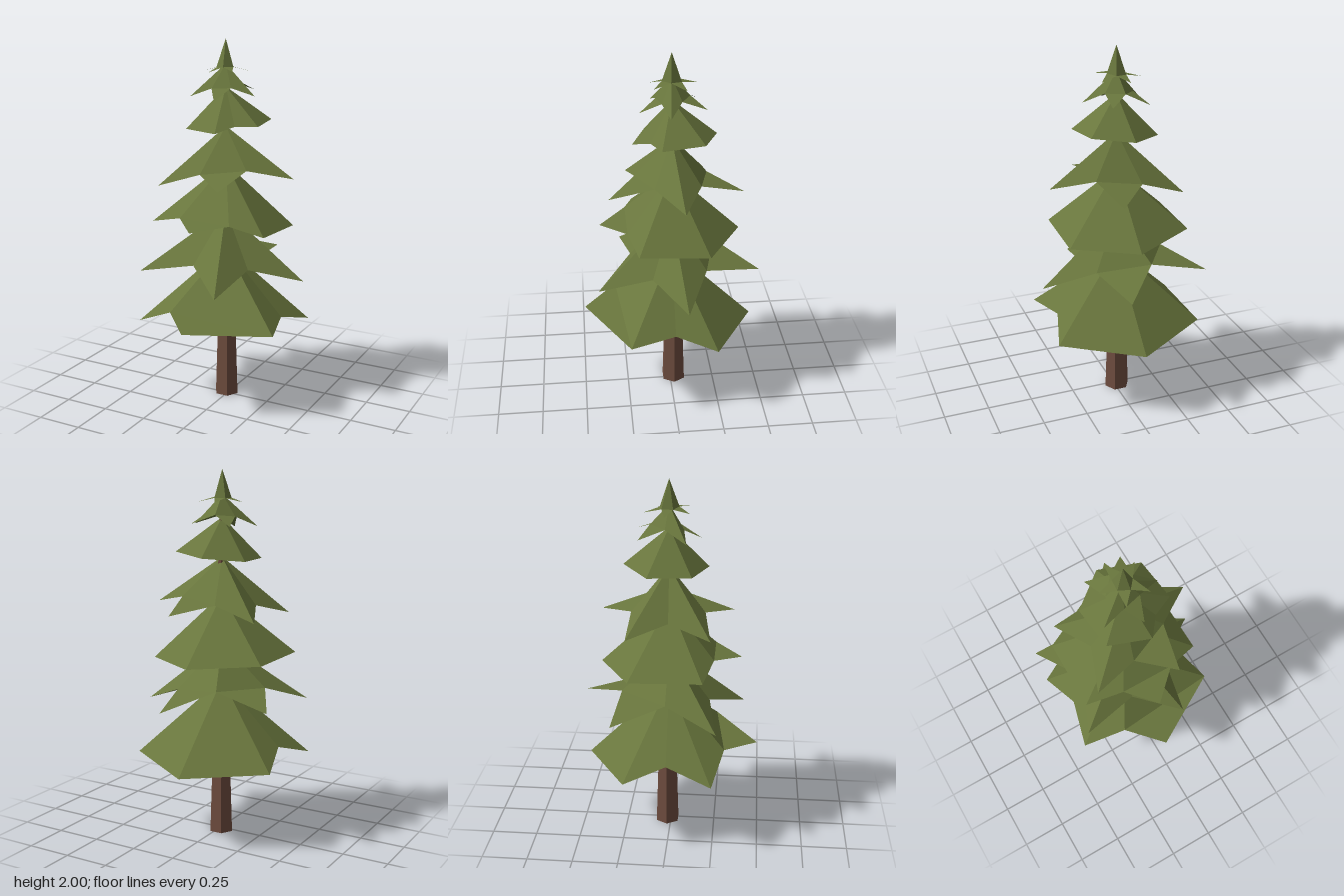
import * as THREE from 'three';

const needles = new THREE.MeshStandardMaterial({ color: 0x69763d, side: THREE.DoubleSide, flatShading: true });
needles.name = 'needle green';
const bark = new THREE.MeshStandardMaterial({ color: 0x6f4d3f, flatShading: true });
bark.name = 'bark brown';

const CX = -0.015, CZ = -0.01;
const FLAT = true;

// Each tier: apex height and rim points [x, y, z, flat], clockwise from above.
// Flat tips hang outside the cone as a single triangle between their neighbours.
// Star tiers get notches between tips: notch = [share of the radius, lift].
const tiers = [
  { apex: 0.87, rim: [
    [-0.015, 0.425, -0.46], [0.395, 0.45, -0.225], [0.33, 0.52, 0], [0.395, 0.5, 0.245],
    [-0.015, 0.52, 0.483, FLAT], [-0.19, 0.555, 0.305], [-0.425, 0.45, 0.245], [-0.36, 0.53, 0], [-0.425, 0.45, -0.225]] },
  { apex: 1.08, notch: [0.66, 0.08], rim: [
    [0.43, 0.72, -0.06], [0.135, 0.71, 0.405], [-0.4, 0.75, 0.265],
    [-0.435, 0.79, -0.285, FLAT], [0.08, 0.77, -0.487, FLAT]] },
  { apex: 1.34, rim: [
    [-0.015, 0.99, -0.38], [0.31, 0.99, -0.185], [0.31, 1.01, 0.19], [0.135, 1.06, 0.24],
    [-0.02, 1.04, 0.385, FLAT], [-0.16, 1.07, 0.24], [-0.36, 1.02, 0.19], [-0.355, 1.01, -0.2]] },
  { apex: 1.54, notch: [0.68, 0.06], rim: [
    [0.37, 1.28, -0.045], [0.12, 1.26, 0.335, FLAT], [-0.3, 1.23, 0.225],
    [-0.32, 1.23, -0.212], [0.085, 1.26, -0.385, FLAT]] },
  { apex: 1.75, rim: [
    [-0.03, 1.55, -0.25], [0.18, 1.57, -0.165], [0.21, 1.56, 0.06], [0.1, 1.56, 0.11],
    [0.03, 1.53, 0.2], [-0.185, 1.53, 0.12], [-0.21, 1.53, -0.11]] },
  { apex: 1.87, notch: [0.6, 0.05], rim: [
    [0.165, 1.71, 0.01], [0.005, 1.69, 0.16, FLAT], [-0.175, 1.7, 0.09],
    [-0.145, 1.71, -0.16, FLAT], [0.07, 1.72, -0.185, FLAT]] },
  { apex: 2.0, notch: [0.5, 0.02], rim: [
    [0.09, 1.83, -0.08, FLAT], [0.075, 1.84, 0.09, FLAT], [-0.06, 1.83, 0.1, FLAT],
    [-0.145, 1.83, -0.025, FLAT], [-0.045, 1.83, -0.14, FLAT]] },
];

// Insert a raised notch between every pair of neighbouring tips
function addNotches(tips, [share, lift]) {
  return tips.flatMap((p, i) => {
    const q = tips[(i + 1) % tips.length];
    const mx = (p[0] + q[0]) / 2 - CX, mz = (p[2] + q[2]) / 2 - CZ;
    return [p, [CX + mx * share, (p[1] + q[1]) / 2 + lift, CZ + mz * share]];
  });
}

// Open pyramid over the rim, plus a triangle for every flat tip
function skirt({ apex, notch, rim }) {
  const outer = notch ? addNotches(rim, notch) : rim;
  const pos = [];
  const face = (...corners) => corners.forEach(([x, y, z]) => pos.push(x, y, z));
  const base = outer.filter((p) => !p[3]);
  base.forEach((p, i) => face([CX, apex, CZ], base[(i + 1) % base.length], p));
  outer.forEach((p, i) => {
    if (p[3]) face(outer.at(i - 1), outer[(i + 1) % outer.length], p);
  });
  const geo = new THREE.BufferGeometry();
  geo.setAttribute('position', new THREE.Float32BufferAttribute(pos, 3));
  geo.computeVertexNormals();
  return geo;
}

export function createModel() {
  const tree = new THREE.Group();
  tree.name = 'pineTree';

  // Tapered six-sided trunk
  const trunk = new THREE.Mesh(new THREE.CylinderGeometry(0.006, 0.07, 1.88, 6, 1, false, Math.PI / 2), bark);
  trunk.name = 'trunk';
  trunk.position.set(CX, 0.94, -0.02);
  tree.add(trunk);

  // Stacked branch tiers, bottom to top
  tiers.forEach((tier, i) => {
    const mesh = new THREE.Mesh(skirt(tier), needles);
    mesh.name = `branchTier${i + 1}`;
    tree.add(mesh);
  });
  return tree;
}
